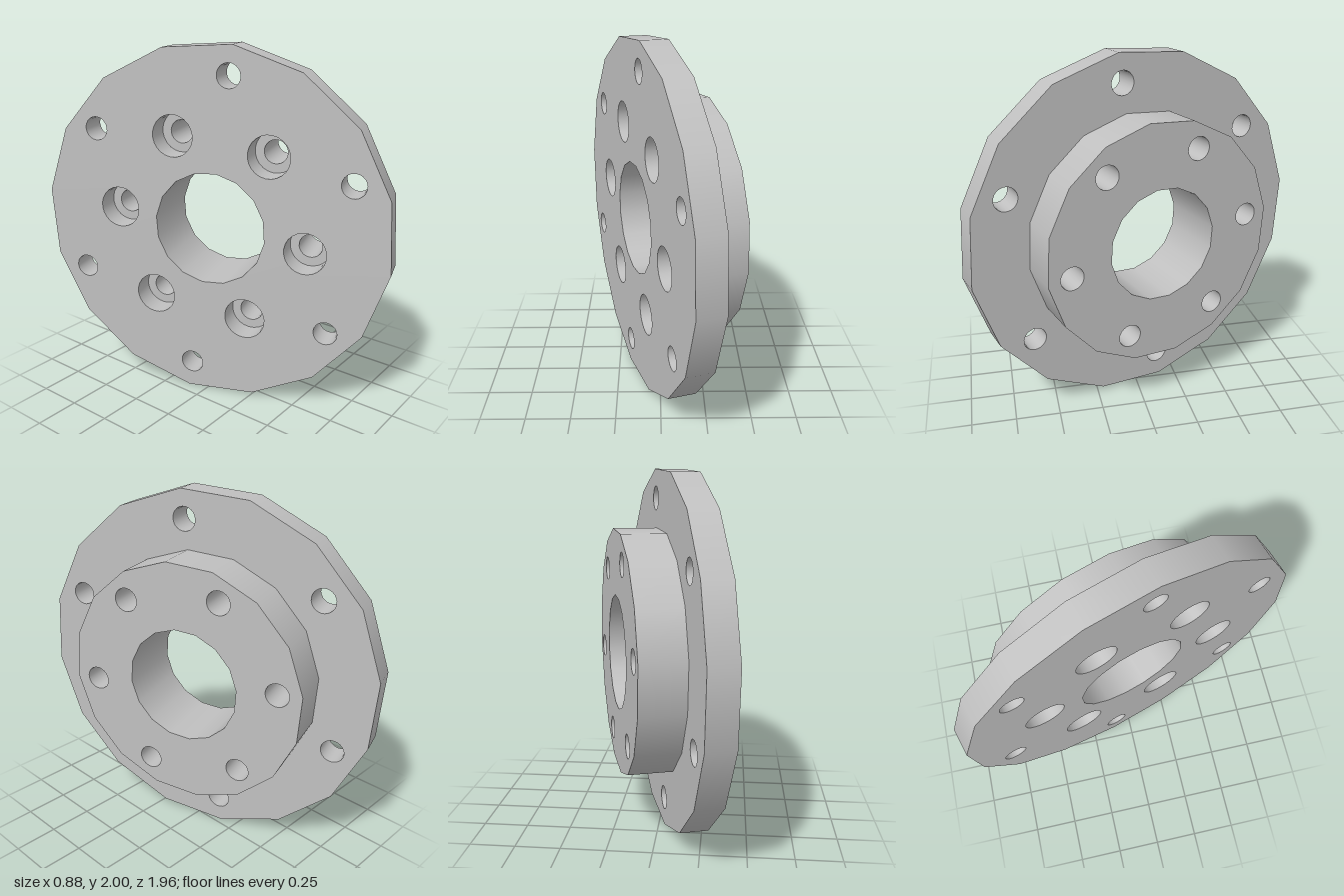
import * as THREE from 'three';
import { mergeGeometries } from 'three/addons/utils/BufferGeometryUtils.js';

const PHASE = THREE.MathUtils.degToRad(-7.5); // turn of the whole part about its axis
const SIDES = 16, HOLE_SIDES = 24;
const FLANGE_R = 1.009, HUB_R = 0.686, BORE_R = 0.321;
const BOLT_R = 0.066, COUNTERBORE_R = 0.117;
const FLOOR_Z = 0.134, STEP_Z = 0.157, TOP_Z = 0.402;

// Points of a polygon ring, angles measured clockwise from up
function ring(r, n, cx = 0, cy = 0) {
  return Array.from({ length: n }, (_, i) => {
    const a = PHASE + (i / n) * Math.PI * 2;
    return new THREE.Vector2(cx + r * Math.sin(a), cy + r * Math.cos(a));
  });
}

// Six hole centres on a bolt circle
function boltCircle(r, offset) {
  return Array.from({ length: 6 }, (_, i) => {
    const a = PHASE + offset + (i * Math.PI) / 3;
    return [r * Math.sin(a), r * Math.cos(a)];
  });
}

// Flat face with holes, facing +z, or -z when back is true
function face(outline, holes, z, back = false) {
  const shape = new THREE.Shape(outline);
  shape.holes = holes.map((h) => new THREE.Path(h));
  const g = new THREE.ShapeGeometry(shape).translate(0, 0, z);
  if (back) {
    const idx = g.index.array;
    for (let i = 0; i < idx.length; i += 3) [idx[i], idx[i + 1]] = [idx[i + 1], idx[i]];
    const nor = g.attributes.normal;
    for (let i = 0; i < nor.count; i++) nor.setXYZ(i, 0, 0, -1);
  }
  return g;
}

// Smooth round wall along z; it faces outward when z1 > z0, inward otherwise
function wall(r, z0, z1, n, cx = 0, cy = 0) {
  const profile = [new THREE.Vector2(r, z0), new THREE.Vector2(r, z1)];
  return new THREE.LatheGeometry(profile, n, Math.PI - PHASE)
    .rotateX(Math.PI / 2)
    .translate(cx, cy, 0);
}

export function createModel() {
  const steel = new THREE.MeshStandardMaterial({ color: 0xc0c0c0 });
  steel.name = 'grey steel';

  const part = new THREE.Group();
  part.name = 'flangedHub';
  const add = (name, ...geometries) => {
    const mesh = new THREE.Mesh(mergeGeometries(geometries), steel);
    mesh.name = name;
    part.add(mesh);
  };

  const outer = boltCircle(0.85, 0);
  const inner = boltCircle(0.55, Math.PI / 6);
  const holes = (centres, r) => centres.map(([x, y]) => ring(r, HOLE_SIDES, x, y));
  const bore = ring(BORE_R, SIDES);
  const hubOutline = ring(HUB_R, SIDES);
  const flangeOutline = ring(FLANGE_R, SIDES);

  // Wide thin disc
  add('flange',
    face(flangeOutline, [bore, ...holes(outer, BOLT_R), ...holes(inner, COUNTERBORE_R)], 0, true),
    wall(FLANGE_R, 0, STEP_Z, SIDES),
    face(flangeOutline, [hubOutline, ...holes(outer, BOLT_R)], STEP_Z));

  // Raised boss
  add('hub',
    wall(HUB_R, STEP_Z, TOP_Z, SIDES),
    face(hubOutline, [bore, ...holes(inner, BOLT_R)], TOP_Z));

  add('centreBore', wall(BORE_R, TOP_Z, 0, SIDES));

  // Plain through holes in the flange
  add('flangeBoltHoles', ...outer.map(([x, y]) => wall(BOLT_R, STEP_Z, 0, HOLE_SIDES, x, y)));

  // Stepped holes through the hub
  add('hubBoltHoles', ...inner.flatMap(([x, y]) => [
    wall(BOLT_R, TOP_Z, FLOOR_Z, HOLE_SIDES, x, y),
    face(ring(COUNTERBORE_R, HOLE_SIDES, x, y), [ring(BOLT_R, HOLE_SIDES, x, y)], FLOOR_Z, true),
    wall(COUNTERBORE_R, FLOOR_Z, 0, HOLE_SIDES, x, y),
  ]));

  // Stand the part on edge with the hub towards +x and slightly back
  part.rotation.y = THREE.MathUtils.degToRad(107.2);
  part.position.set(-0.145, 1, 0.015);

  const model = new THREE.Group();
  model.name = 'model';
  model.add(part);
  return model;
}
